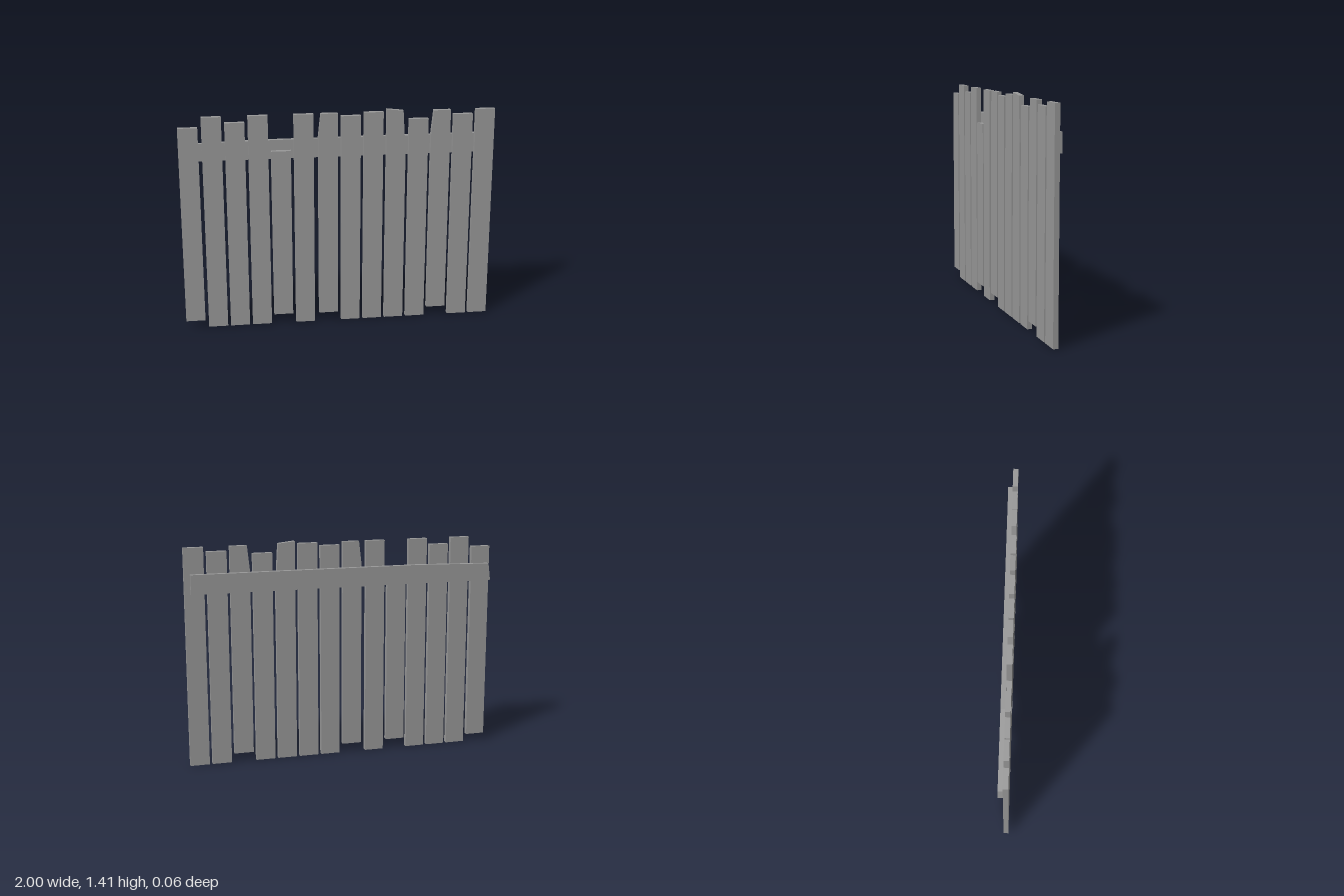
import * as THREE from 'three';

const material = new THREE.MeshStandardMaterial({ color: 0x999999, flatShading: true });

// A board cut from a flat outline, extruded from z to z + depth
function board(name, points, z, depth) {
  const shape = new THREE.Shape(points.map(([x, y]) => new THREE.Vector2(x, y)));
  const geometry = new THREE.ExtrudeGeometry(shape, { depth, bevelEnabled: false });
  geometry.translate(0, 0, z);
  const mesh = new THREE.Mesh(geometry, material);
  mesh.name = name;
  return mesh;
}

export function createModel() {
  const fence = new THREE.Group();
  fence.name = 'fence';
  const width = 0.124;
  const thickness = 0.032;
  const seam = -0.001;

  // Upright planks: left edge, bottom, top, optional chipped corner
  const planks = [
    { x: -1, bottom: 0.047, top: 1.333 },
    { x: -0.854, bottom: 0, top: 1.398 },
    { x: -0.711, bottom: 0, top: 1.358 },
    { x: -0.567, bottom: 0, top: 1.398 },
    { x: -0.426, bottom: 0.062, top: 1.167 },
    { x: -0.282, bottom: 0, top: 1.398 },
    { x: -0.129, bottom: 0.057, top: 1.398, chipLeft: [0.017, 1.25] },
    { x: 0.016, bottom: 0, top: 1.379 },
    { x: 0.16, bottom: 0, top: 1.398 },
    { x: 0.304, bottom: 0, top: 1.414, topRight: 1.402, chipRight: [0.018, 1.12] },
    { x: 0.448, bottom: 0, top: 1.347 },
    { x: 0.59, bottom: 0.057, top: 1.398, chipLeft: [0.016, 1.24] },
    { x: 0.733, bottom: 0, top: 1.369 },
    { x: 0.876, bottom: 0, top: 1.398 },
  ];
  planks.forEach(({ x, bottom, top, topRight = top, chipLeft, chipRight }, i) => {
    const right = x + width;
    const outline = [[x, bottom], [right, bottom]];
    if (chipRight) outline.push([right, chipRight[1]]);
    outline.push([right - (chipRight ? chipRight[0] : 0), topRight]);
    outline.push([x + (chipLeft ? chipLeft[0] : 0), top]);
    if (chipLeft) outline.push([x, chipLeft[1]]);
    fence.add(board(`plank${i + 1}`, outline, seam, thickness));
  });

  // Cross rail behind the planks, with a slanted end
  const rail = [[-1, 1.112], [0.963, 1.112], [0.963, 1.235], [-0.5, 1.233], [-0.986, 1.221]];
  fence.add(board('crossRail', rail, seam - thickness + 0.002, thickness - 0.002));

  return fence;
}
